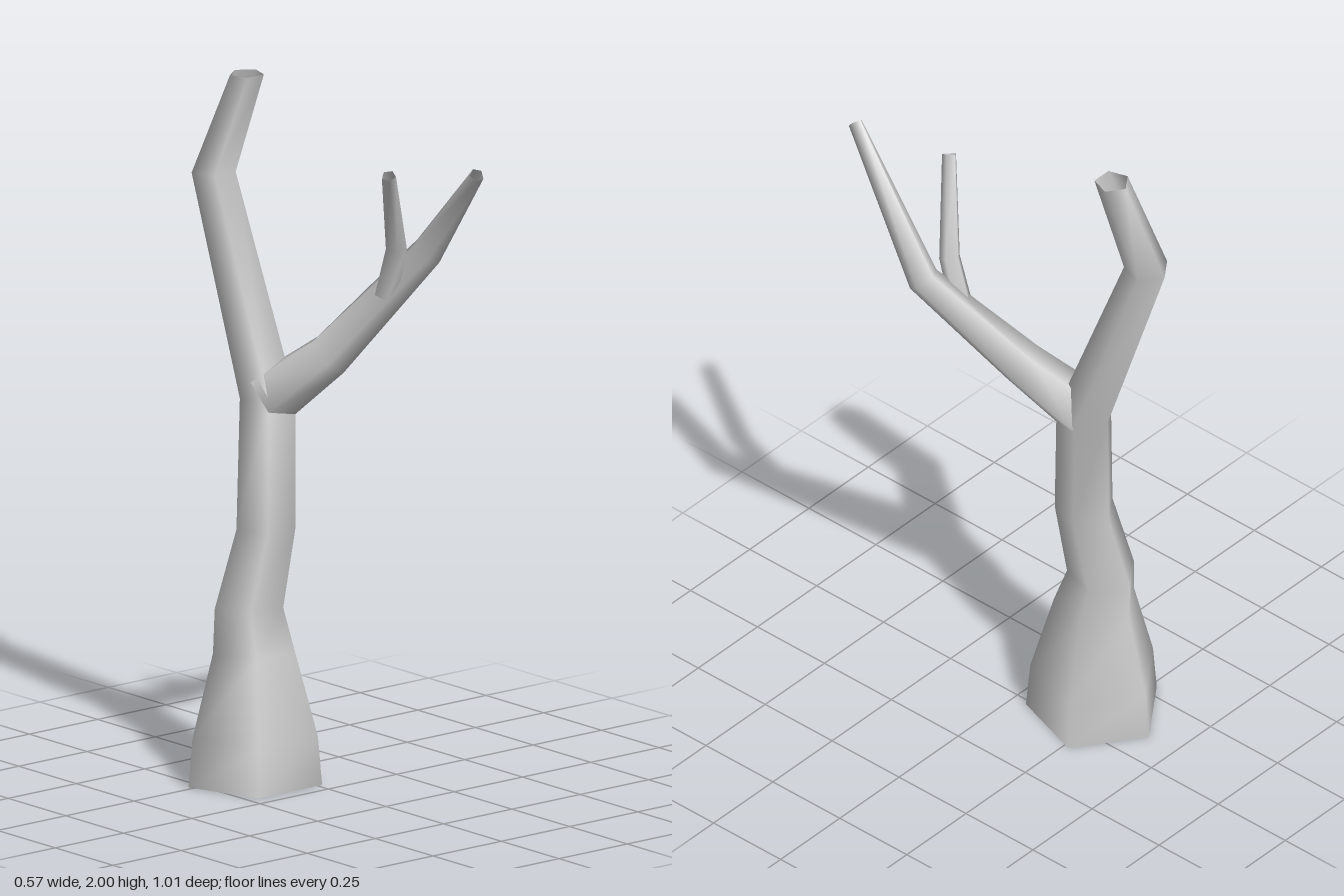
import * as THREE from 'three';

const SIDES = 5;
const UP = new THREE.Vector3(0, 1, 0);

// Open five-sided limb through rings given as [x, y, z, radius].
// Level rings stay horizontal; otherwise each ring faces along the path.
function limb(name, rings, level, material) {
  const centres = rings.map(([x, y, z]) => new THREE.Vector3(x, y, z));
  const positions = [], index = [];
  rings.forEach(([, , , radius], i) => {
    const turn = new THREE.Quaternion();
    if (!level) {
      const tangent = new THREE.Vector3();
      if (i > 0) tangent.add(centres[i].clone().sub(centres[i - 1]).normalize());
      if (i < rings.length - 1) tangent.add(centres[i + 1].clone().sub(centres[i]).normalize());
      turn.setFromUnitVectors(UP, tangent.normalize());
    }
    for (let s = 0; s < SIDES; s++) {
      const a = (s / SIDES) * Math.PI * 2;
      const p = new THREE.Vector3(-Math.sin(a) * radius, 0, -Math.cos(a) * radius);
      p.applyQuaternion(turn).add(centres[i]);
      positions.push(p.x, p.y, p.z);
      if (i > 0) {
        const n = (s + 1) % SIDES;
        const low = (i - 1) * SIDES, high = i * SIDES;
        index.push(low + s, low + n, high + n, low + s, high + n, high + s);
      }
    }
  });
  const geometry = new THREE.BufferGeometry();
  geometry.setAttribute('position', new THREE.Float32BufferAttribute(positions, 3));
  geometry.setIndex(index);
  geometry.computeVertexNormals();
  const mesh = new THREE.Mesh(geometry, material);
  mesh.name = name;
  return mesh;
}

export function createModel() {
  const group = new THREE.Group();
  group.name = 'bareTree';
  const bark = new THREE.MeshStandardMaterial({ color: 0xcccccc, side: THREE.DoubleSide });

  // Trunk with flared foot and a bend near the top
  group.add(limb('trunk', [
    [-0.10, 0, -0.205, 0.197],
    [-0.10, 0.14, -0.205, 0.185],
    [-0.10, 0.38, -0.208, 0.121],
    [-0.095, 0.5, -0.235, 0.101],
    [-0.062, 0.73, -0.2, 0.087],
    [-0.037, 1.1, -0.222, 0.082],
    [-0.05, 1.71, -0.44, 0.065],
    [-0.002, 2, -0.352, 0.05],
  ], true, bark));

  // Side branch reaching forward, with an elbow
  group.add(limb('branch', [
    [-0.035, 1.1, -0.21, 0.084],
    [0.052, 1.235, -0.065, 0.068],
    [0.24, 1.54, 0.138, 0.048],
    [0.13, 1.852, 0.49, 0.021],
  ], false, bark));

  // Small twig growing from the branch
  group.add(limb('twig', [
    [0.148, 1.42, 0.075, 0.034],
    [0.143, 1.57, 0.125, 0.031],
    [0.027, 1.815, 0.23, 0.021],
  ], false, bark));

  return group;
}
